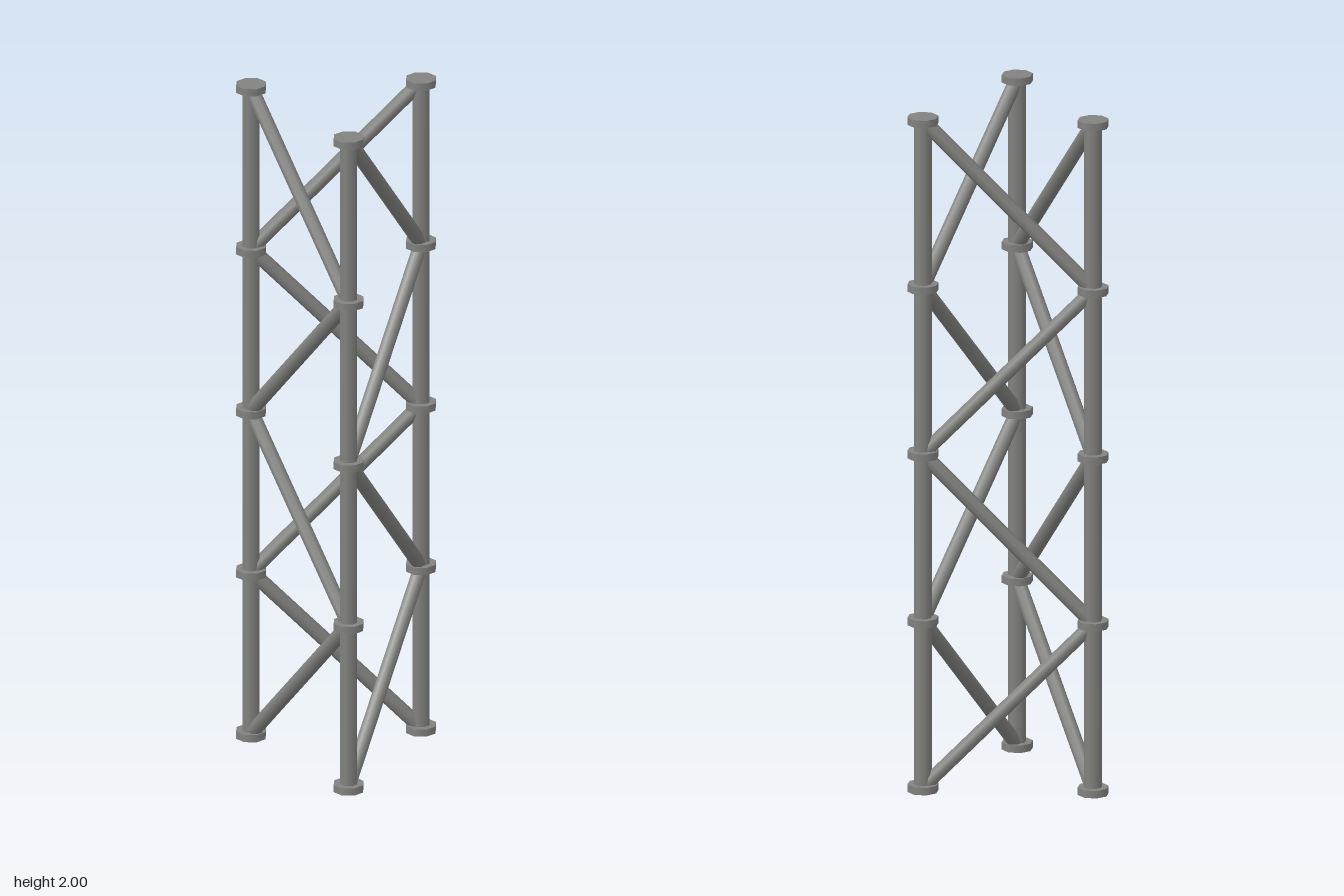
import * as THREE from 'three';

export function createModel() {
  const steel = new THREE.MeshStandardMaterial({ color: 0x828280 });
  steel.name = 'grey steel';
  const group = new THREE.Group();
  group.name = 'trussTower';

  const bays = 4, collarHeight = 0.022, postRadius = 0.026, braceRadius = 0.021;
  const base = collarHeight / 2;
  const step = (2 - collarHeight) / bays;
  const level = (i) => base + i * step;
  const corners = [[-0.209, 0], [0.209, 0.242], [0.209, -0.242]];

  const add = (name, geometry) => {
    const mesh = new THREE.Mesh(geometry, steel);
    mesh.name = name;
    group.add(mesh);
    return mesh;
  };

  // Round bar between two points
  const bar = (name, a, b, radius) => {
    const dir = b.clone().sub(a);
    const mesh = add(name, new THREE.CylinderGeometry(radius, radius, dir.length(), 8));
    mesh.position.copy(a).lerp(b, 0.5);
    mesh.quaternion.setFromUnitVectors(new THREE.Vector3(0, 1, 0), dir.normalize());
  };

  const node = (corner, i) => {
    const [x, z] = corners[corner % 3];
    return new THREE.Vector3(x, level(i), z);
  };

  const collarGeometry = new THREE.CylinderGeometry(0.045, 0.045, collarHeight, 8);
  for (let c = 0; c < 3; c++) {
    // Upright post with a collar at every level
    bar('post', node(c, 0), node(c, bays), postRadius);
    for (let i = 0; i <= bays; i++) {
      add('collar', collarGeometry).position.copy(node(c, i));
    }
    // Zigzag braces to the next post, ends tucked inside the posts
    for (let i = 0; i < bays; i++) {
      const even = i % 2 === 0;
      const a = node(even ? c : c + 1, i);
      const b = node(even ? c + 1 : c, i + 1);
      const inset = b.clone().sub(a).setLength(0.02);
      bar('brace', a.add(inset), b.sub(inset), braceRadius);
    }
  }
  return group;
}
